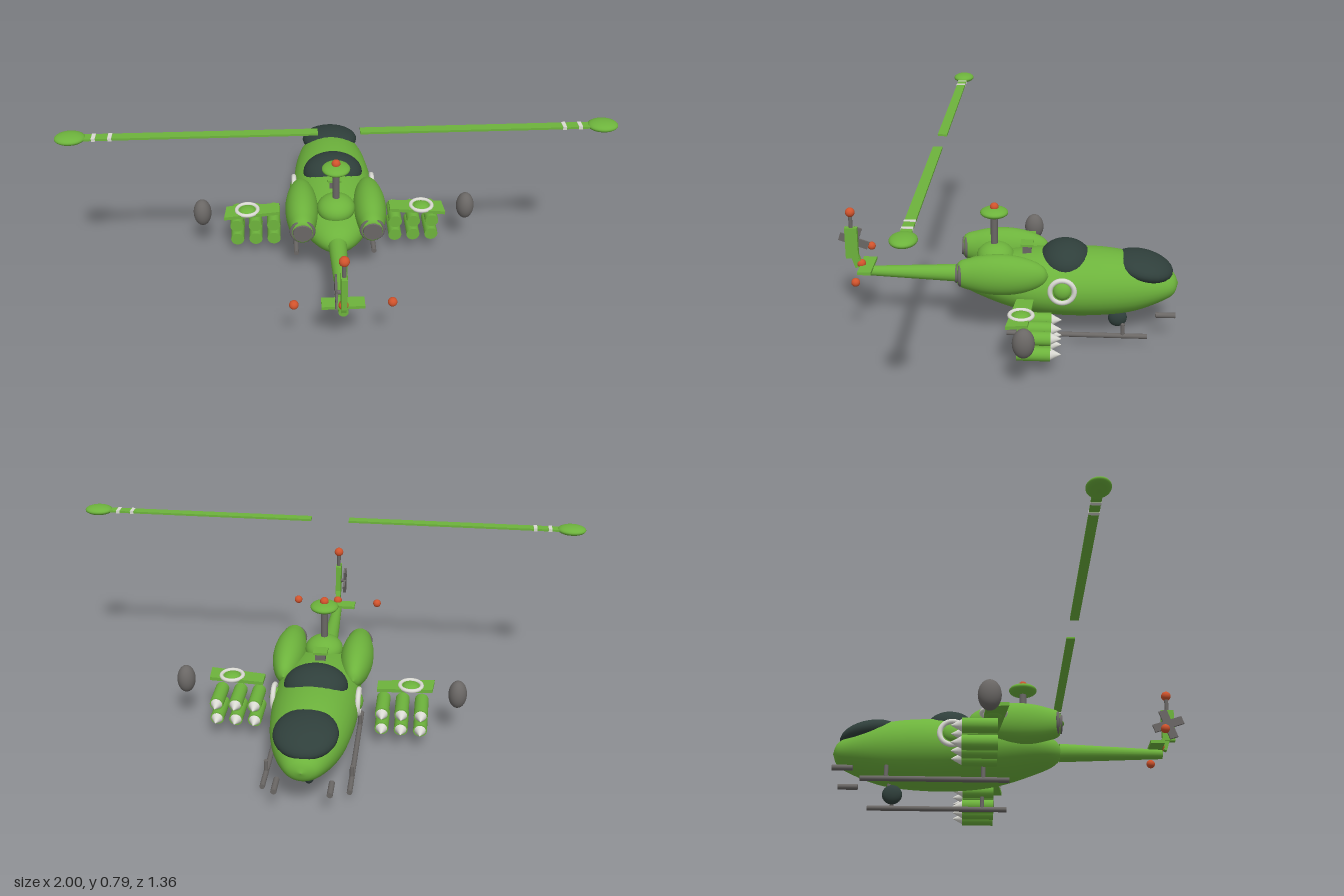
import * as THREE from 'three';

const mat = (name, color) => Object.assign(new THREE.MeshStandardMaterial({ color }), { name });

export function createModel() {
  const green = mat('leaf green', 0x6db33c);
  const dark = mat('dark glass', 0x2f3f3b);
  const grey = mat('metal grey', 0x6a6765);
  const white = mat('pale trim', 0xd9d9d2);
  const red = mat('signal red', 0xd0532c);
  const root = new THREE.Group();
  root.name = 'helicopter';

  const add = (name, geo, material, x, y, z) => {
    const m = new THREE.Mesh(geo, material);
    m.name = name;
    m.position.set(x, y, z);
    root.add(m);
    return m;
  };
  const ball = (name, material, x, y, z, rx, ry = rx, rz = rx) =>
    add(name, new THREE.SphereGeometry(1, 28, 18).scale(rx, ry, rz), material, x, y, z);
  const box = (name, material, x, y, z, w, h, d) =>
    add(name, new THREE.BoxGeometry(w, h, d), material, x, y, z);
  const post = (name, material, x, y, z, r, h) =>
    add(name, new THREE.CylinderGeometry(r, r, h, 16), material, x, y, z);
  // cylinder along z: r0 at the +z end, r1 at the -z end
  const rod = (name, material, x, y, z, r0, r1, len) =>
    add(name, new THREE.CylinderGeometry(r0, r1, len, 20).rotateX(Math.PI / 2), material, x, y, z);

  // Smooth elliptical loft through stations [z, halfWidth, bottom, top]
  const loft = (stations, rings = 40, seg = 32) => {
    const side = new THREE.CatmullRomCurve3(stations.map(s => new THREE.Vector3(s[1], s[2], s[0])));
    const top = new THREE.CatmullRomCurve3(stations.map(s => new THREE.Vector3(0, s[3], s[0])));
    const pos = [], idx = [];
    for (let i = 0; i <= rings; i++) {
      const p = side.getPoint(i / rings), q = top.getPoint(i / rings);
      const cy = (p.y + q.y) / 2, h = (q.y - p.y) / 2;
      for (let j = 0; j < seg; j++) {
        const a = j / seg * Math.PI * 2;
        pos.push(Math.cos(a) * p.x, cy + Math.sin(a) * h, p.z);
        if (i < rings) {
          const k = (j + 1) % seg, b = i * seg;
          idx.push(b + j, b + k, b + seg + k, b + j, b + seg + k, b + seg + j);
        }
      }
    }
    const g = new THREE.BufferGeometry();
    g.setAttribute('position', new THREE.Float32BufferAttribute(pos, 3));
    g.setIndex(idx);
    g.computeVertexNormals();
    return g;
  };

  // Fuselage, nose towards -z
  add('fuselage', loft([
    [-0.68, 0.001, 0.199, 0.201], [-0.66, 0.055, 0.155, 0.24], [-0.6, 0.095, 0.122, 0.275],
    [-0.5, 0.133, 0.086, 0.316], [-0.38, 0.155, 0.07, 0.334], [-0.22, 0.165, 0.068, 0.333],
    [-0.06, 0.158, 0.088, 0.32], [0.08, 0.12, 0.132, 0.295], [0.17, 0.065, 0.17, 0.265],
    [0.21, 0.001, 0.214, 0.216],
  ]), green, 0, 0, 0);
  ball('frontCanopy', dark, 0, 0.272, -0.537, 0.118, 0.052, 0.122).rotation.x = -0.2;
  ball('rearCanopy', dark, 0, 0.292, -0.232, 0.122, 0.078, 0.104);

  // Roof hatch
  box('hatchBase', grey, 0, 0.335, -0.08, 0.04, 0.035, 0.035);
  box('hatchPlate', green, 0, 0.355, -0.08, 0.055, 0.01, 0.05);

  // Rotor mast
  ball('mastFairing', green, 0, 0.3, 0.045, 0.075, 0.055, 0.075);
  post('mast', grey, 0, 0.415, 0.05, 0.014, 0.14);
  ball('mastHub', green, 0, 0.484, 0.05, 0.055, 0.02, 0.055);
  ball('mastLight', red, 0, 0.507, 0.05, 0.017);

  // Tail boom, stabiliser and fin
  rod('tailBoom', green, 0, 0.219, 0.39, 0.018, 0.036, 0.4);
  box('stabiliser', green, 0, 0.24, 0.562, 0.156, 0.012, 0.054);
  ball('boomLight', red, 0, 0.25, 0.585, 0.018);
  box('finFoot', green, 0, 0.275, 0.606, 0.02, 0.08, 0.03).rotation.x = 0.3;
  box('tailFin', green, 0, 0.34, 0.62, 0.022, 0.13, 0.05);
  post('finAerial', grey, 0, 0.435, 0.62, 0.008, 0.07);
  ball('finLight', red, 0, 0.47, 0.62, 0.019);
  for (const turn of [-0.33, Math.PI / 2 - 0.33])
    box('tailRotorBlade', grey, -0.028, 0.335, 0.617, 0.008, 0.033, 0.122).rotation.x = turn;
  add('tailRotorAxle', new THREE.CylinderGeometry(0.008, 0.008, 0.03, 12).rotateZ(Math.PI / 2),
    grey, -0.018, 0.335, 0.617);

  // Nose wheel
  ball('noseWheel', dark, 0, 0.038, -0.447, 0.023, 0.038, 0.038);
  post('noseWheelStrut', grey, 0, 0.075, -0.46, 0.008, 0.05);

  for (const s of [-1, 1]) {
    // Main rotor blades
    box('rotorBlade', green, s * 0.49, 0.77, 0.255, 0.83, 0.008, 0.036);
    ball('rotorTip', green, s * 0.945, 0.77, 0.255, 0.055, 0.018, 0.044);
    for (const x of [0.805, 0.862])
      box('bladeBand', white, s * x, 0.77, 0.255, 0.014, 0.012, 0.038);

    // Engine pod, cut flat at the back
    add('enginePod', loft([
      [-0.168, 0.001, -0.001, 0.001], [-0.15, 0.026, -0.034, 0.034], [-0.1, 0.048, -0.062, 0.062],
      [-0.02, 0.063, -0.08, 0.08], [0.06, 0.063, -0.08, 0.08], [0.13, 0.052, -0.066, 0.066],
      [0.18, 0.038, -0.046, 0.046], [0.183, 0.001, -0.001, 0.001],
    ]), green, s * 0.135, 0.279, 0);
    rod('exhaust', grey, s * 0.135, 0.279, 0.179, 0.036, 0.04, 0.022);
    add('exhaustRim', new THREE.TorusGeometry(0.043, 0.007, 10, 28), grey, s * 0.135, 0.279, 0.172);

    // Side porthole
    add('portholeRing', new THREE.TorusGeometry(0.047, 0.01, 12, 32).rotateY(Math.PI / 2),
      white, s * 0.162, 0.225, -0.222);
    ball('portholeBoss', green, s * 0.155, 0.225, -0.222, 0.025, 0.036, 0.036);

    // Stub wing, drawn in plan and given thickness
    const plan = new THREE.Shape([[0.225, 0.115], [0.44, 0.1], [0.447, 0.02], [0.225, 0.05]]
      .map(([x, y]) => new THREE.Vector2(s * x, y)));
    add('stubWing', new THREE.ExtrudeGeometry(plan, { depth: 0.014, bevelEnabled: false })
      .rotateX(-Math.PI / 2), green, 0, 0.207, 0);
    add('wingRing', new THREE.TorusGeometry(0.043, 0.008, 12, 32).rotateX(Math.PI / 2),
      white, s * 0.355, 0.22, -0.073);
    ball('wingBoss', green, s * 0.355, 0.215, -0.073, 0.034, 0.017, 0.034);
    ball('wingPod', grey, s * 0.538, 0.203, -0.09, 0.036, 0.057, 0.041);

    // Rockets, two rows of three
    for (const x of [0.25, 0.325, 0.4]) for (const y of [0.085, 0.15]) {
      rod('rocket', green, s * x, y, -0.121, 0.027, 0.027, 0.126);
      rod('rocketTip', white, s * x, y, -0.203, 0.023, 0.001, 0.04);
    }

    // Skids, struts, guns and rear lights
    rod('skid', grey, s * 0.16, 0.041, -0.282, 0.01, 0.01, 0.546);
    for (const z of [-0.105, -0.46]) post('skidStrut', grey, s * 0.16, 0.067, z, 0.008, 0.05);
    rod('gun', grey, s * 0.1, 0.105, -0.628, 0.011, 0.011, 0.077);
    ball('rearLight', red, s * 0.176, 0.25, 0.575, 0.017);
  }
  return root;
}
